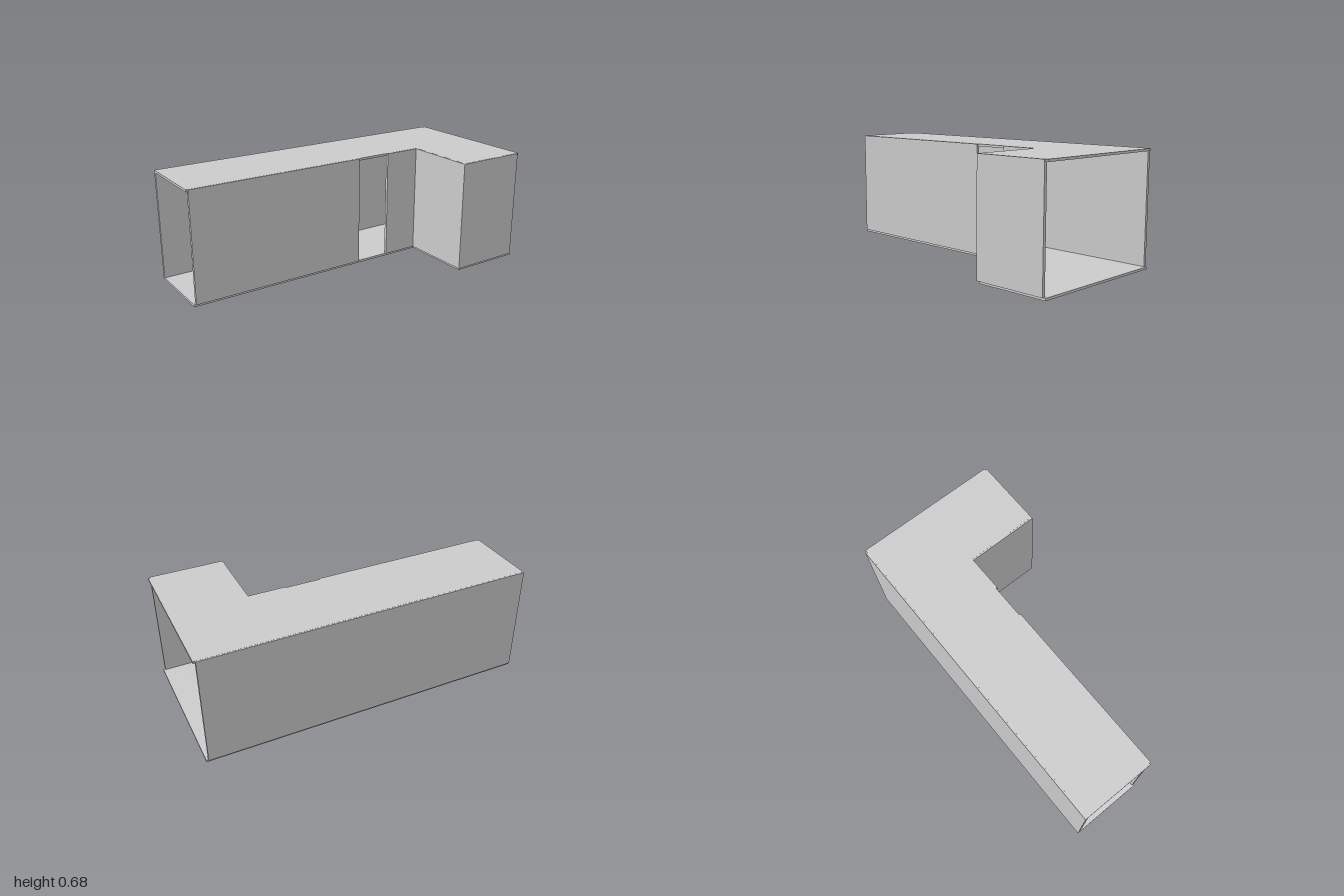
import * as THREE from 'three';

const HEIGHT = 0.68; // overall height
const SLAB = 0.014; // floor and roof thickness
const HALF = 0.009; // half of the wall thickness
const DEPTH = 0.445; // wall centre lines lie at z = -DEPTH, 0 and DEPTH
const CORNER = 0.555; // centre line of the side wall of the short wing

export function createModel() {
  const group = new THREE.Group();
  const material = new THREE.MeshStandardMaterial({ color: 0xcccccc, flatShading: true });

  const add = (name, geometry) => {
    const mesh = new THREE.Mesh(geometry, material);
    mesh.name = name;
    group.add(mesh);
  };

  // L-shaped floor and roof, reaching to the wall centre lines
  const plan = new THREE.Shape([
    [-1, -DEPTH], [1, -DEPTH], [1, DEPTH], [CORNER, DEPTH], [CORNER, 0], [-1, 0],
  ].map(([x, z]) => new THREE.Vector2(x, -z)));
  const slab = (name, y) => {
    const geometry = new THREE.ExtrudeGeometry(plan, { depth: SLAB, bevelEnabled: false });
    geometry.rotateX(-Math.PI / 2).translate(0, y, 0);
    add(name, geometry);
  };
  slab('floor', 0);
  slab('roof', HEIGHT - SLAB);

  // Upright walls standing on the floor; the top sits a hair lower than the roof
  const wall = (name, x0, x1, z0, z1) => {
    const h = HEIGHT - SLAB - 0.0005;
    const geometry = new THREE.BoxGeometry(x1 - x0, h, z1 - z0);
    geometry.translate((x0 + x1) / 2, SLAB + h / 2, (z0 + z1) / 2);
    add(name, geometry);
  };
  const RIGHT = 0.988; // end of the walls at the wide opening
  wall('backWall', -1, RIGHT, -DEPTH - HALF, -DEPTH + HALF);
  // Doorway gap between the two front walls
  wall('longFrontWall', -0.99, 0.108, -HALF, HALF);
  wall('shortFrontWall', 0.322, CORNER - HALF, -HALF, HALF);
  // Short wing
  wall('wingSideWall', CORNER - HALF, CORNER + HALF, -HALF, DEPTH + HALF);
  wall('wingFrontWall', CORNER + HALF, RIGHT, DEPTH - HALF, DEPTH + HALF);

  return group;
}
